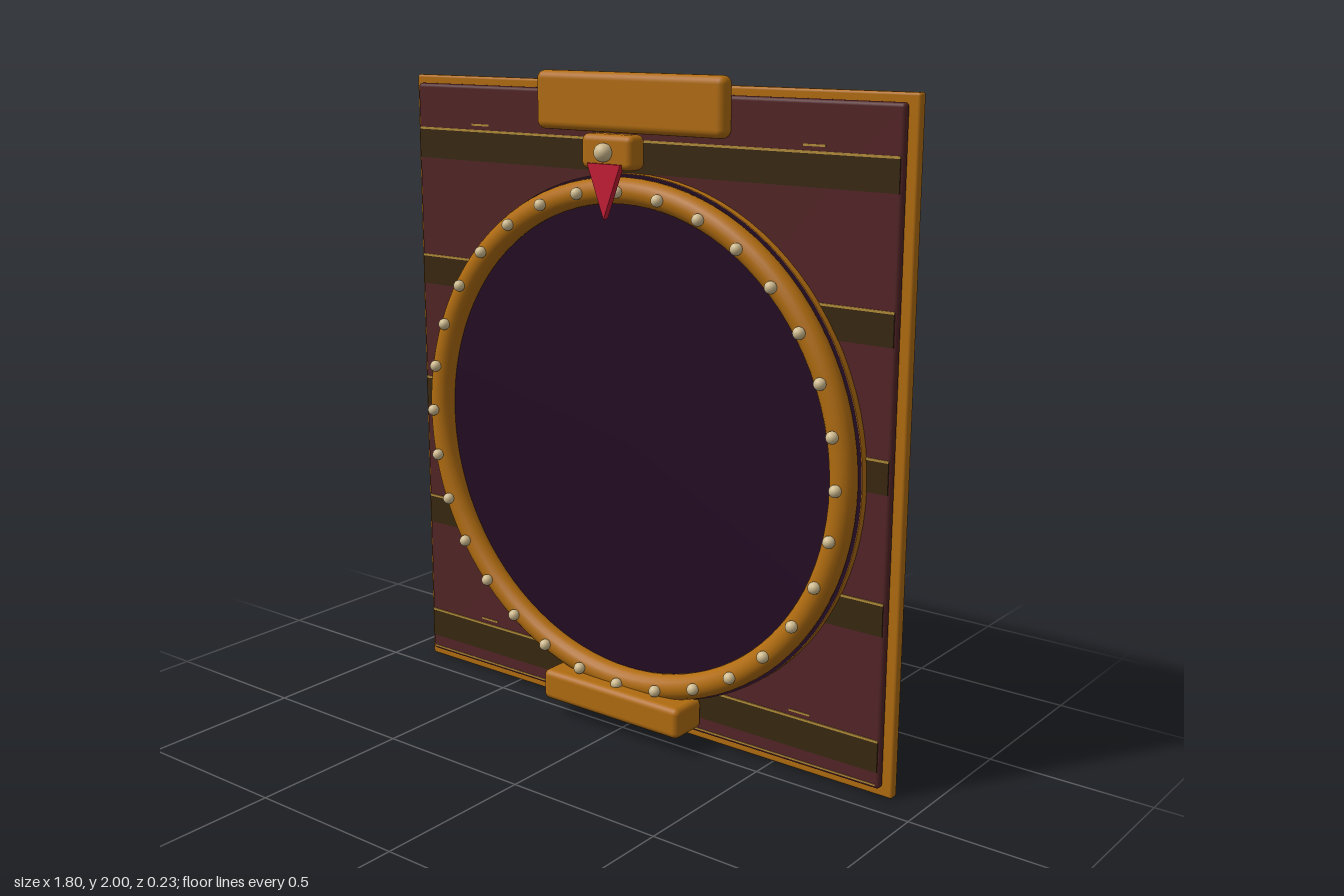
import * as THREE from 'three';
import { RoundedBoxGeometry } from 'three/addons/geometries/RoundedBoxGeometry.js';

function material(name, color) {
  const m = new THREE.MeshStandardMaterial({ color });
  m.name = name;
  return m;
}

export function createModel() {
  const group = new THREE.Group();
  const bronze = material('bronze', 0xb06c10);
  const maroon = material('maroon wood', 0x522426);
  const brown = material('dark brown', 0x38270f);
  const gilt = material('gilt', 0xb08a38);
  const purple = material('dark purple', 0x230b23);
  const pearl = material('pearl', 0xd0bc90);
  const red = material('red', 0xc41c34);

  function add(name, geometry, mat, x = 0, y = 0, z = 0) {
    const mesh = new THREE.Mesh(geometry, mat);
    mesh.name = name;
    mesh.position.set(x, y, z);
    group.add(mesh);
    return mesh;
  }
  // Box given by half width and its y and z limits
  function block(name, mat, halfW, y0, y1, z0, z1, radius = 0) {
    const size = [halfW * 2, y1 - y0, z1 - z0];
    const geometry = radius
      ? new RoundedBoxGeometry(...size, 4, radius)
      : new THREE.BoxGeometry(...size);
    return add(name, geometry, mat, 0, (y0 + y1) / 2, (z0 + z1) / 2);
  }

  // Back board and wooden panel
  block('backBoard', bronze, 0.9, 0.005, 1.97, -0.116, -0.085, 0.008);
  block('woodPanel', maroon, 0.872, 0.036, 1.945, -0.086, -0.058, 0.012);

  // Dark bands with gilt lines along their top edges
  const face = -0.058;
  for (let i = 0; i < 5; i++) {
    const top = 0.18 + i * 0.406;
    block('band', brown, 0.865, top - 0.092, top, face - 0.002, face + 0.002);
    block('bandLine', gilt, 0.865, top - 0.002, top + 0.005, face - 0.002, face + 0.003);
    for (const side of [-1, 1]) {
      const mark = add('bandMark', new THREE.BoxGeometry(0.07, 0.006, 0.004), gilt, side * 0.605, top + 0.02, face);
      mark.visible = i === 0 || i === 4;
    }
  }
  block('bottomLine', gilt, 0.86, 0.047, 0.052, face - 0.002, face + 0.002);

  // Round drum, dark face and bronze rim
  const cy = 0.913;
  const ringR = 0.753;
  const drum = add('drum', new THREE.CylinderGeometry(0.8, 0.8, 0.024, 96), bronze, 0, cy, -0.046);
  drum.rotation.x = Math.PI / 2;
  add('darkFace', new THREE.CircleGeometry(0.799, 96), purple, 0, cy, -0.032);
  add('rim', new THREE.TorusGeometry(ringR, 0.039, 20, 96), bronze, 0, cy, -0.015);

  // Studs around the rim
  const studGeometry = new THREE.SphereGeometry(0.018, 16, 12);
  for (let i = 0; i < 32; i++) {
    const a = (i / 32) * Math.PI * 2;
    add('stud', studGeometry, pearl, Math.cos(a) * ringR, cy + Math.sin(a) * ringR, 0.031);
  }

  // Header plaque, foot block and pointer mount
  block('headerPlaque', bronze, 0.34, 1.828, 2.0, -0.067, -0.01, 0.024);
  block('footBlock', bronze, 0.262, 0.058, 0.155, -0.058, 0.073, 0.02);
  block('pointerMount', bronze, 0.092, 1.732, 1.832, 0.008, 0.08, 0.02);
  add('pointerKnob', new THREE.SphereGeometry(0.027, 24, 16), pearl, 0, 1.782, 0.089);

  // Red pointer
  const tri = new THREE.Shape([
    new THREE.Vector2(-0.06, 1.75),
    new THREE.Vector2(0, 1.593),
    new THREE.Vector2(0.06, 1.75),
  ]);
  add('pointer', new THREE.ExtrudeGeometry(tri, { depth: 0.02, bevelEnabled: false }), red, 0, 0, 0.068);

  return group;
}
